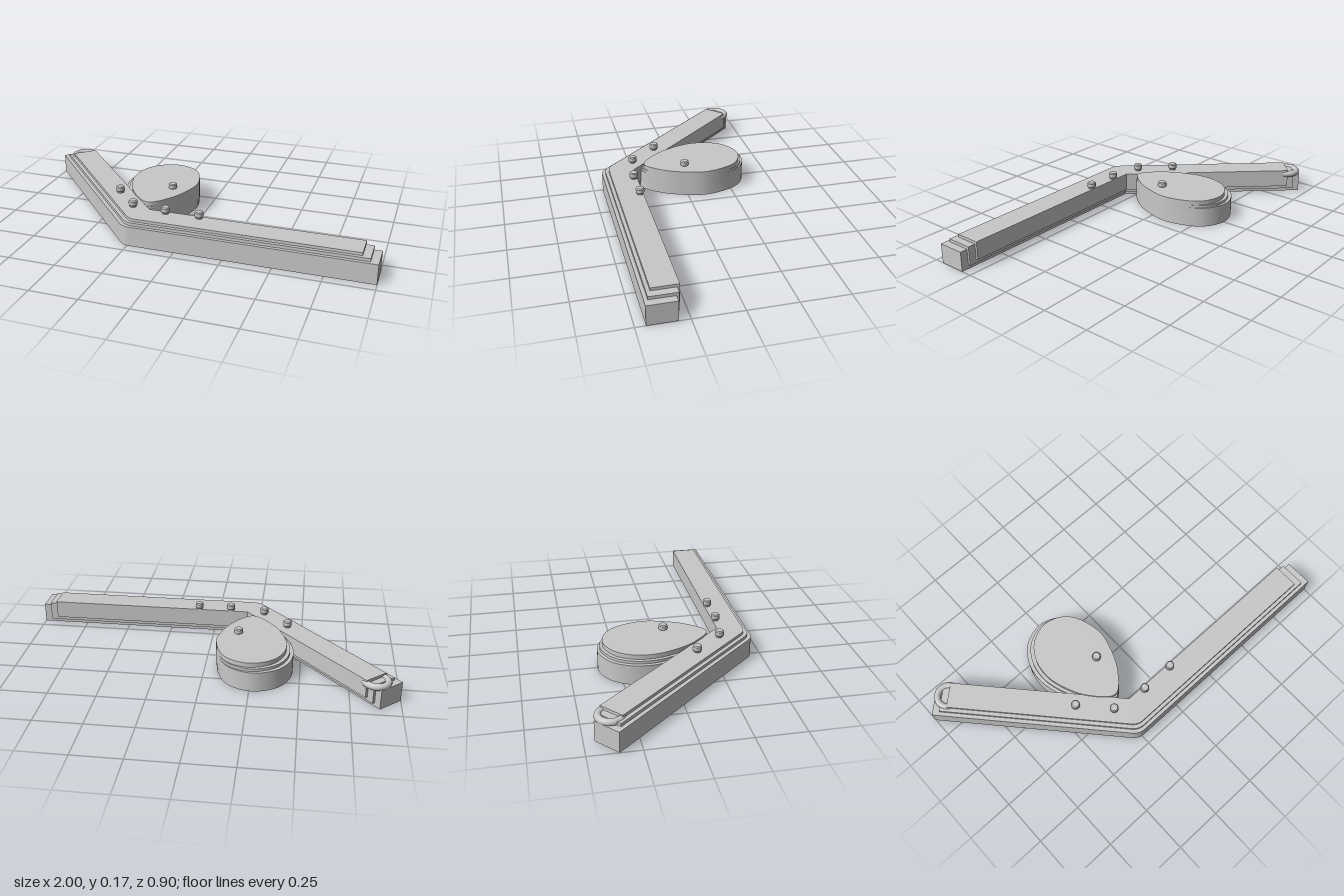
import * as THREE from 'three';
import { toCreasedNormals } from 'three/addons/utils/BufferGeometryUtils.js';

// Upright prism from a plan outline; shape y runs along -z
function prism(shape, height, material) {
  let geo = new THREE.ExtrudeGeometry(shape, { depth: height, bevelEnabled: false, curveSegments: 12 });
  geo.rotateX(-Math.PI / 2);
  geo = toCreasedNormals(geo, 0.5);
  return new THREE.Mesh(geo, material);
}

// Three stacked slabs, each a little smaller and higher than the last
function stepped(name, shape, tops, material) {
  const group = new THREE.Group();
  group.name = name;
  [1, 0.96, 0.92].forEach((s, i) => {
    const base = i * 0.02;
    const slab = prism(shape, tops[i] - base, material);
    slab.name = name + 'Layer' + (i + 1);
    slab.scale.set(s, 1, s);
    slab.position.y = base;
    group.add(slab);
  });
  return group;
}

export function createModel() {
  const model = new THREE.Group();
  model.name = 'bentLeverWithCam';
  const grey = new THREE.MeshStandardMaterial({ color: 0xc8c8c8 });
  grey.name = 'plainGrey';

  // Bent bar with a rounded outer elbow
  const bar = new THREE.Shape();
  bar.moveTo(1, -0.45);
  bar.lineTo(1, -0.305);
  bar.lineTo(-0.207, -0.305);
  bar.lineTo(-0.893, 0.45);
  bar.lineTo(-1, 0.354);
  bar.lineTo(-0.305, -0.413);
  bar.quadraticCurveTo(-0.275, -0.45, -0.235, -0.45);
  bar.closePath();
  model.add(stepped('bentBar', bar, [0.105, 0.121, 0.136], grey));

  // Egg-shaped cam
  const outline = [
    [-0.26, -0.357], [-0.131, -0.299], [-0.061, -0.113], [-0.09, 0.032], [-0.148, 0.148],
    [-0.245, 0.236], [-0.363, 0.14], [-0.43, 0.02], [-0.462, -0.104], [-0.446, -0.222], [-0.382, -0.313],
  ].map(([x, z]) => new THREE.Vector3(x, -z, 0));
  const curve = new THREE.CatmullRomCurve3(outline, true, 'centripetal');
  const egg = new THREE.Shape(curve.getPoints(72).slice(0, -1).map((p) => new THREE.Vector2(p.x, p.y)));
  model.add(stepped('cam', egg, [0.106, 0.121, 0.145], grey));

  // Chamfered pins
  const profile = [[0, 0.13], [0.018, 0.13], [0.018, 0.142], [0.0225, 0.147], [0.0225, 0.167], [0.018, 0.172], [0, 0.172]]
    .map(([r, y]) => new THREE.Vector2(r, y));
  const pinGeo = toCreasedNormals(new THREE.LatheGeometry(profile, 24), 0.5);
  [[-0.42, 0.122], [-0.285, 0.27], [-0.095, 0.297], [0.085, 0.297], [-0.165, 0]].forEach(([x, z], i) => {
    const pin = new THREE.Mesh(pinGeo, grey);
    pin.name = 'pin' + (i + 1);
    pin.position.set(x, 0, z);
    model.add(pin);
  });

  // Ring lying at the far end of the angled arm
  const ring = new THREE.Mesh(new THREE.TorusGeometry(0.0575, 0.0175, 16, 40), grey);
  ring.name = 'endRing';
  ring.rotation.x = Math.PI / 2;
  ring.position.set(-0.872, 0.113, -0.373);
  model.add(ring);

  return model;
}
